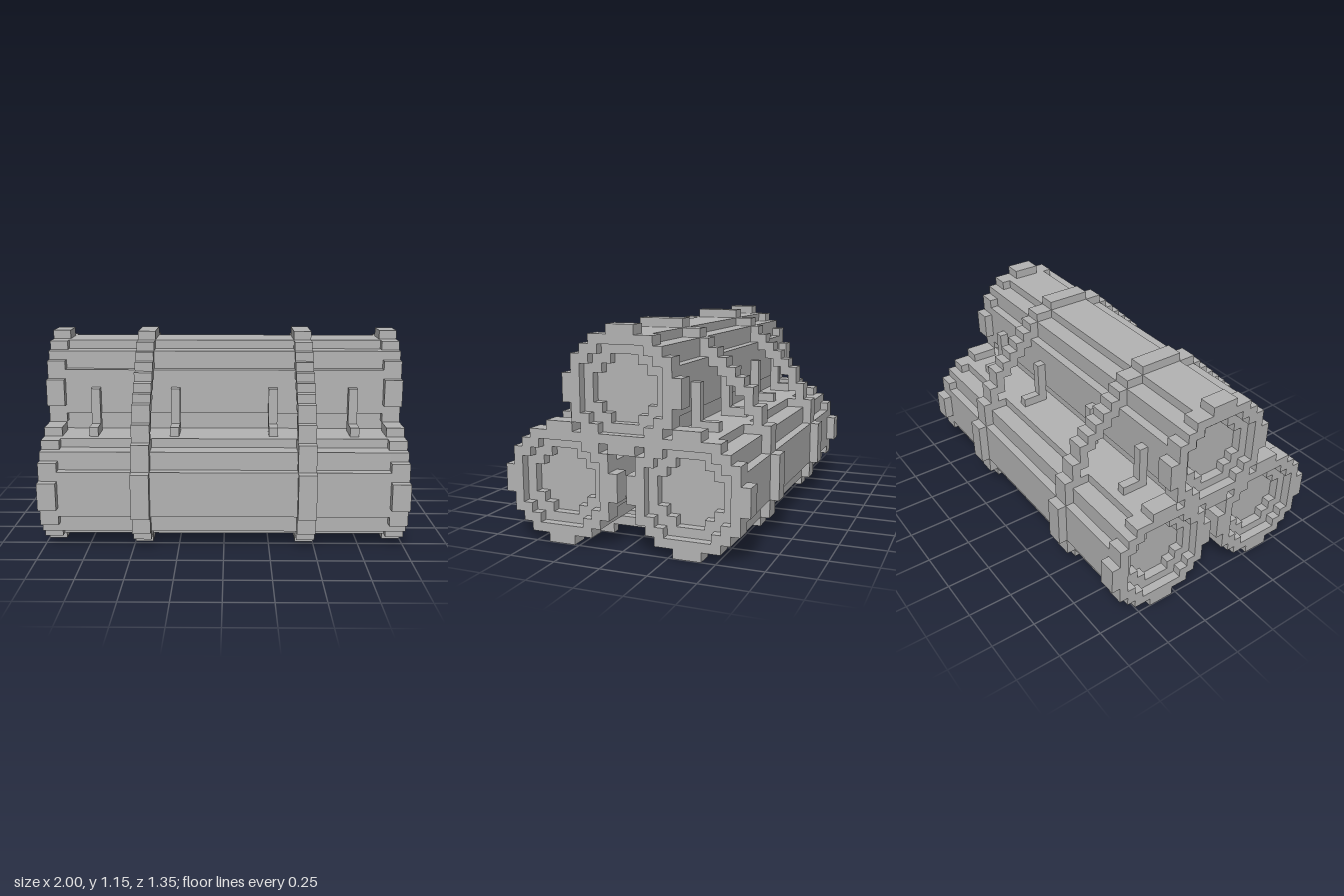
import * as THREE from 'three';

const grey = new THREE.MeshStandardMaterial({ color: 0xb3b3b3 });
grey.name = 'grey';

// Full stepped-disc outline from the outer corners of one quadrant.
function steppedOutline(corners) {
  const quarter = [];
  corners.forEach(([w, h], i) => {
    quarter.push([w, h]);
    if (i < corners.length - 1) quarter.push([corners[i + 1][0], h]);
  });
  const back = [...quarter].reverse();
  return [
    ...quarter,
    ...back.map(([x, y]) => [-x, y]),
    ...quarter.map(([x, y]) => [-x, -y]),
    ...back.map(([x, y]) => [x, -y]),
  ].map(([x, y]) => new THREE.Vector2(x, y));
}

// Extrude a stepped disc along x, centred on its own origin.
function steppedDisc(corners, length, hole) {
  const shape = new THREE.Shape(steppedOutline(corners));
  if (hole) shape.holes.push(new THREE.Path(steppedOutline(hole)));
  const geo = new THREE.ExtrudeGeometry(shape, { depth: length, bevelEnabled: false });
  return geo.translate(0, 0, -length / 2).rotateY(Math.PI / 2);
}

function addMesh(parent, name, geo, x = 0, y = 0, z = 0) {
  const mesh = new THREE.Mesh(geo, grey);
  mesh.name = name;
  mesh.position.set(x, y, z);
  parent.add(mesh);
}

// Box given by its limits in y and z, with a width along x.
function addBar(parent, name, width, x, y0, y1, z0, z1) {
  addMesh(parent, name, new THREE.BoxGeometry(width, y1 - y0, Math.abs(z1 - z0)), x, (y0 + y1) / 2, (z0 + z1) / 2);
}

const BODY = [[0.275, 0.125], [0.225, 0.225], [0.125, 0.275]];
const RIM = [[0.325, 0.075], [0.275, 0.175], [0.225, 0.225], [0.175, 0.275], [0.075, 0.325]];
const LEDGE = [[0.225, 0.125], [0.175, 0.175], [0.125, 0.225]];
const RECESS = [[0.175, 0.075], [0.125, 0.125], [0.075, 0.175]];

// Strap side, bottom to top: y0, y1, inner z, outer z.
const STRAP_ROWS = [
  [0.05, 0.1, 0.475, 0.575], [0.1, 0.2, 0.575, 0.625], [0.2, 0.45, 0.625, 0.675],
  [0.45, 0.55, 0.575, 0.625], [0.55, 0.6, 0.475, 0.625], [0.6, 0.65, 0.525, 0.575],
  [0.65, 0.7, 0.475, 0.575], [0.7, 0.75, 0.475, 0.525], [0.75, 0.8, 0.425, 0.525],
  [0.8, 0.85, 0.375, 0.475], [0.85, 0.9, 0.325, 0.425], [0.9, 0.95, 0.275, 0.375],
  [0.95, 1.0, 0.225, 0.325], [1.0, 1.05, 0.225, 0.275], [1.05, 1.1, 0.125, 0.225],
  // inner corners between the two lower cylinders
  [0.1, 0.15, 0.075, 0.125], [0.15, 0.2, 0.025, 0.125],
];

export function createModel() {
  const model = new THREE.Group();
  model.name = 'strappedCylinderBundle';

  // Three stacked cylinders, each end stepping inwards from rim to ledge to core
  const bodyGeo = steppedDisc(BODY, 1.8);
  const rimGeo = steppedDisc(RIM, 0.1, LEDGE);
  const ledgeGeo = steppedDisc(LEDGE, 0.05, RECESS);
  for (const [name, y, z] of [['frontCylinder', 0.325, 0.35], ['backCylinder', 0.325, -0.35], ['topCylinder', 0.825, 0]]) {
    const cylinder = new THREE.Group();
    cylinder.name = name;
    cylinder.position.set(0, y, z);
    addMesh(cylinder, 'body', bodyGeo);
    for (const side of [-1, 1]) {
      addMesh(cylinder, 'endRim', rimGeo, side * 0.95);
      addMesh(cylinder, 'endLedge', ledgeGeo, side * 0.925);
    }
    model.add(cylinder);
  }

  // Two straps around the whole bundle
  for (const x of [-0.45, 0.45]) {
    const strap = new THREE.Group();
    strap.name = 'strap';
    addBar(strap, 'strapTop', 0.1, x, 1.1, 1.15, -0.125, 0.125);
    addBar(strap, 'strapBottom', 0.1, x, 0, 0.05, -0.475, 0.475);
    addBar(strap, 'strapCore', 0.1, x, 0.2, 0.55, -0.075, 0.075);
    for (const side of [-1, 1]) {
      for (const [y0, y1, a, b] of STRAP_ROWS) addBar(strap, 'strapStep', 0.1, x, y0, y1, a * side, b * side);
    }
    model.add(strap);
  }

  // Thin brackets in the valleys between the cylinders
  for (const x of [-0.725, -0.275, 0.275, 0.725]) {
    const lower = new THREE.Group();
    lower.name = 'bottomBracket';
    addBar(lower, 'bottomBar', 0.05, x, 0.05, 0.1, -0.225, 0.225);
    for (const side of [-1, 1]) {
      const bracket = new THREE.Group();
      bracket.name = 'sideBracket';
      addBar(bracket, 'bracketFoot', 0.05, x, 0.6, 0.65, side * 0.275, side * 0.425);
      addBar(bracket, 'bracketUpright', 0.05, x, 0.65, 0.85, side * 0.275, side * 0.325);
      model.add(bracket);
      addBar(lower, 'bottomFoot', 0.05, x, 0, 0.05, side * 0.175, side * 0.325);
    }
    model.add(lower);
  }
  return model;
}
